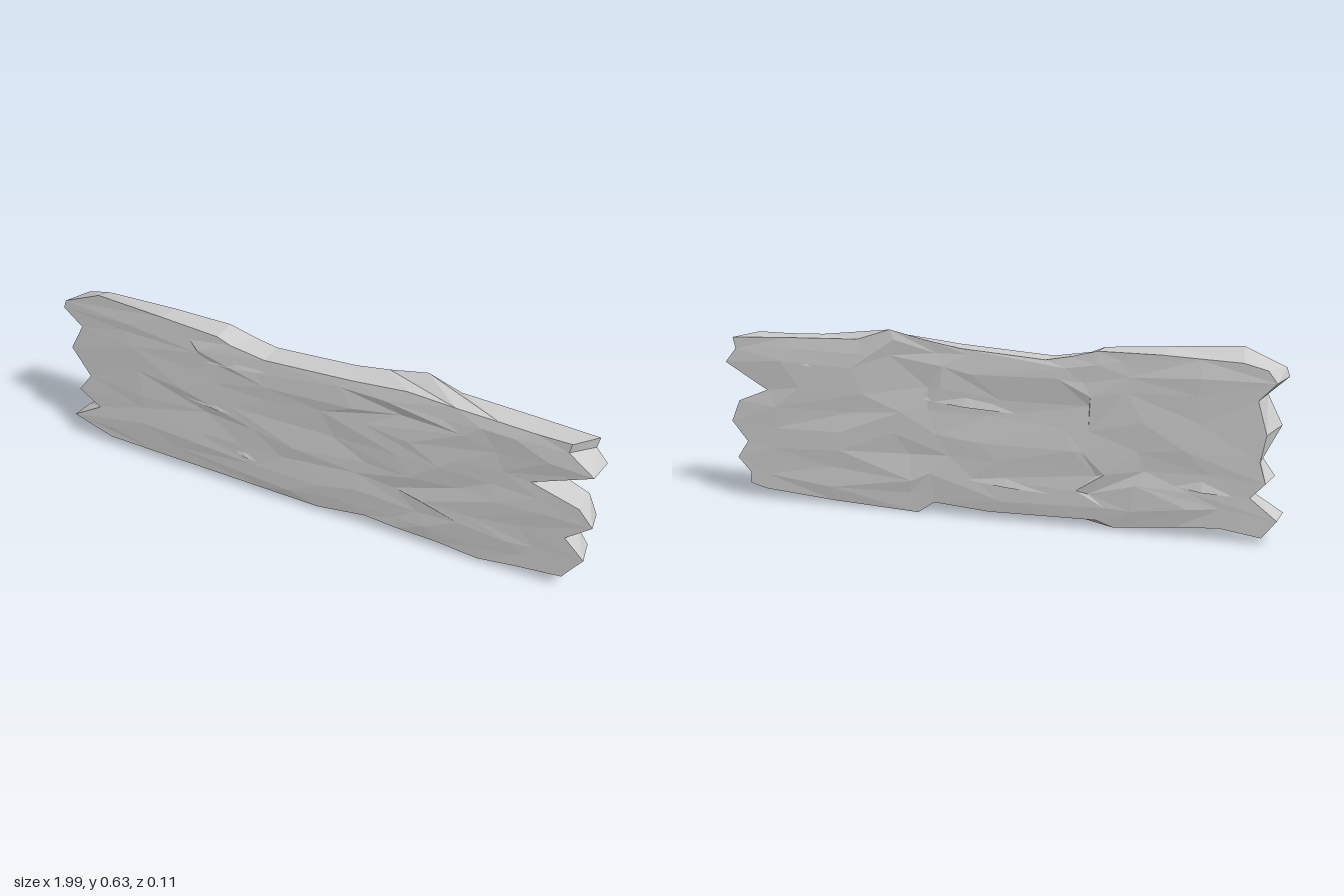
import * as THREE from 'three';

// Outlines of the two broad faces as [x, y]; edges run left to right, ends bottom to top
const FRONT = {
  bottom: [[-.84, .04], [-.65, .035], [-.42, .03], [-.22, .025], [0, .02], [.18, .045], [.3, .035], [.45, .03], [.6, .015], [.75, .035], [.9, .05]],
  top: [[-.85, .63], [-.6, .615], [-.38, .6], [-.33, .58], [-.2, .56], [.13, .58], [.33, .6], [.5, .59], [.65, .585], [.78, .58], [.9, .58]],
  left: [[-.84, .04], [-.99, .09], [-.88, .155], [-.96, .21], [-.91, .28], [-.98, .38], [-.93, .48], [-1, .54], [-.99, .57], [-.85, .63]],
  right: [[.9, .05], [.93, .09], [.97, .14], [.9, .21], [.99, .28], [.94, .34], [.77, .39], [.98, .475], [.89, .545], [.9, .58]],
};
const BACK = {
  bottom: [[-.94, .02], [-.8, .04], [-.65, .03], [-.44, .01], [-.38, .03], [0, .025], [.2, .04], [.26, 0], [.58, .015], [.84, .035], [.9, .05]],
  top: [[-.87, .59], [-.6, .6], [-.38, .6], [-.28, .575], [-.2, .56], [.1, .58], [.22, .6], [.36, .63], [.48, .59], [.75, .58], [.96, .57]],
  left: [[-.94, .02], [-.99, .08], [-.9, .15], [-.95, .2], [-.93, .27], [-.95, .36], [-.92, .47], [-.98, .53], [-.95, .57], [-.87, .59]],
  right: [[.9, .05], [.9, .09], [.95, .14], [.91, .2], [.97, .27], [.94, .345], [.83, .39], [.99, .48], [.95, .53], [.96, .57]],
};
const COLS = 10, ROWS = 9;

let seed = 11;
const rand = () => (seed = (seed * 16807) % 2147483647) / 2147483647;
const spread = (r) => (rand() * 2 - 1) * r;

// Fill an outline with a grid of roughly hewn points on one side of the plank
function faceGrid(o, side) {
  const grid = [];
  for (let j = 0; j <= ROWS; j++) {
    const t = j / ROWS, row = [];
    for (let i = 0; i <= COLS; i++) {
      const s = i / COLS;
      const p = [0, 1].map((k) =>
        (1 - t) * o.bottom[i][k] + t * o.top[i][k] + (1 - s) * o.left[j][k] + s * o.right[j][k]
        - (1 - s) * (1 - t) * o.bottom[0][k] - s * (1 - t) * o.bottom[COLS][k]
        - (1 - s) * t * o.top[0][k] - s * t * o.top[COLS][k]);
      const inner = i > 0 && i < COLS && j > 0 && j < ROWS;
      if (inner) {
        p[0] += spread(.045);
        p[1] += spread(.014);
      }
      row.push([p[0], p[1], side * (inner ? .044 + rand() * .011 : .045)]);
    }
    grid.push(row);
  }
  return grid;
}

function mesh(name, tris, material) {
  const g = new THREE.BufferGeometry();
  g.setAttribute('position', new THREE.Float32BufferAttribute(tris.flat(2), 3));
  g.computeVertexNormals();
  const m = new THREE.Mesh(g, material);
  m.name = name;
  return m;
}

// Triangulate a grid, alternating the diagonals irregularly
function faceTris(grid, side) {
  const tris = [];
  for (let j = 0; j < ROWS; j++) {
    for (let i = 0; i < COLS; i++) {
      const a = grid[j][i], b = grid[j][i + 1], c = grid[j + 1][i + 1], d = grid[j + 1][i];
      const pair = rand() < .5 ? [[a, b, c], [a, c, d]] : [[a, b, d], [b, c, d]];
      pair.forEach((t) => tris.push(side > 0 ? t : t.reverse()));
    }
  }
  return tris;
}

// Grid border, counter-clockwise from the bottom left
function border(grid) {
  const loop = [];
  for (let i = 0; i < COLS; i++) loop.push(grid[0][i]);
  for (let j = 0; j < ROWS; j++) loop.push(grid[j][COLS]);
  for (let i = COLS; i > 0; i--) loop.push(grid[ROWS][i]);
  for (let j = ROWS; j > 0; j--) loop.push(grid[j][0]);
  return loop;
}

// A raised sliver with a steep lower edge from (x0, y0) to (x1, y1)
function splinter([x0, y0, x1, y1], side) {
  const mx = (x0 + x1) / 2, my = (y0 + y1) / 2;
  const p = [x0, y0, side * .046], q = [x1, y1, side * .046];
  const m = [mx, my - .004, side * .056], u = [mx, my + .045, side * .044];
  const tris = [[p, m, u], [m, q, u], [p, q, m]];
  return side > 0 ? tris : tris.map((t) => t.reverse());
}

export function createModel() {
  seed = 11;
  const group = new THREE.Group();
  group.name = 'brokenPlank';
  const wood = new THREE.MeshStandardMaterial({ color: 0xcccccc, flatShading: true });
  wood.name = 'pale grey';

  // Broad faces
  const front = faceGrid(FRONT, 1), back = faceGrid(BACK, -1);
  group.add(mesh('frontFace', faceTris(front, 1), wood));
  group.add(mesh('backFace', faceTris(back, -1), wood));

  // Jagged rim joining the two faces
  const f = border(front), b = border(back), rim = [];
  f.forEach((p, i) => {
    const n = (i + 1) % f.length;
    rim.push([p, b[i], b[n]], [p, b[n], f[n]]);
  });
  group.add(mesh('rim', rim, wood));

  // Splits in the grain
  const frontSplits = [[-.5, .48, -.12, .52], [-.56, .32, -.22, .3], [-.36, .16, -.2, .13]];
  const backSplits = [[-.1, .37, .27, .4], [-.3, .1, .17, .14], [.57, .48, .78, .5], [-.84, .15, -.64, .17]];
  group.add(mesh('frontSplinters', frontSplits.flatMap((s) => splinter(s, 1)), wood));
  group.add(mesh('backSplinters', backSplits.flatMap((s) => splinter(s, -1)), wood));
  return group;
}
